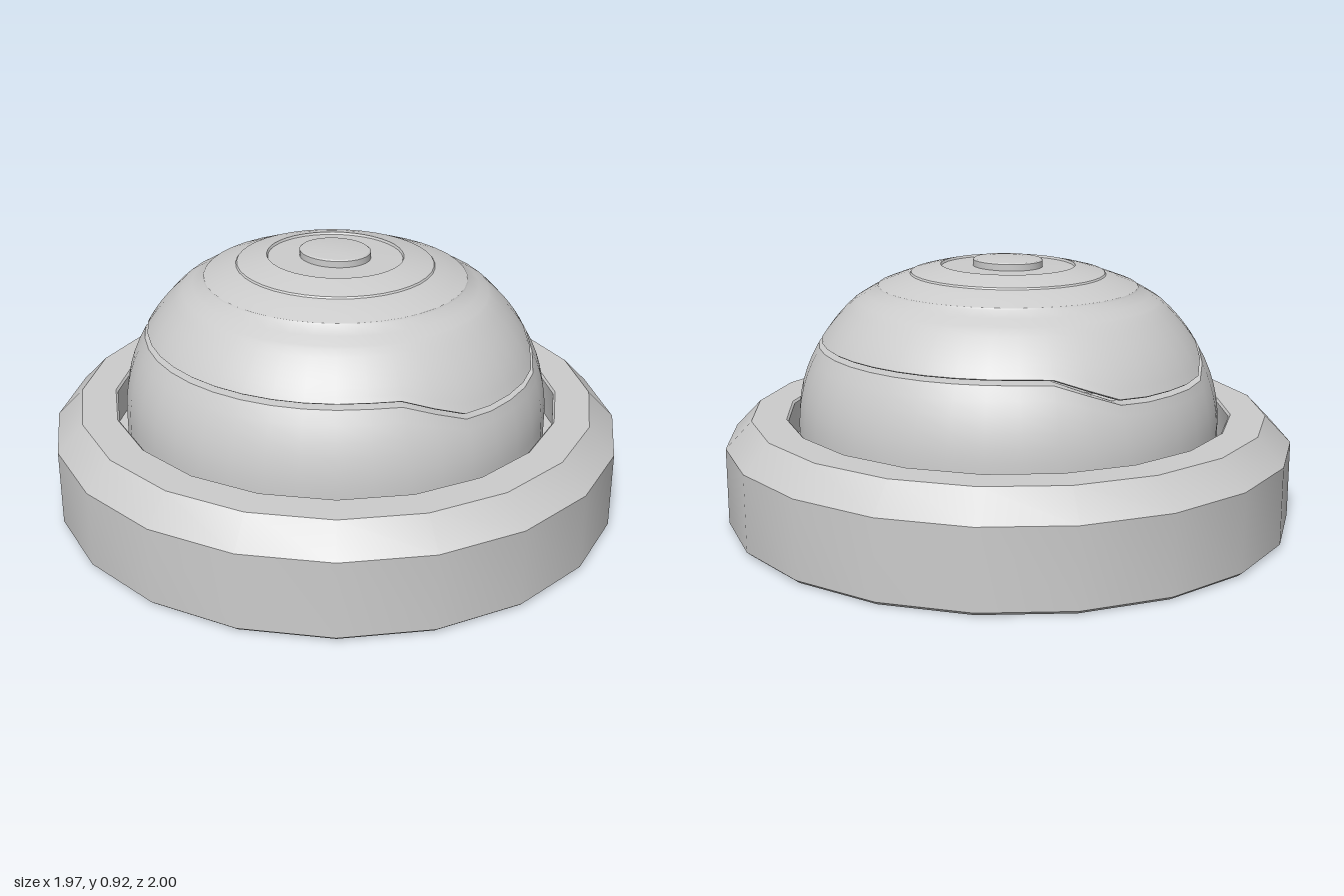
import * as THREE from 'three';
import { toCreasedNormals } from 'three/addons/utils/BufferGeometryUtils.js';

const STRETCH = 0.014; // every ring is this much longer in z than in x

// Revolved part whose profile [[r, y], ...] may change with the angle from +z
function revolve(name, segments, profileAt) {
  const n = profileAt(0).length;
  const blank = Array.from({ length: n }, (_, i) => new THREE.Vector2(1, i));
  const geo = new THREE.LatheGeometry(blank, segments);
  const pos = geo.attributes.position;
  for (let i = 0; i <= segments; i++) {
    const a = (i % segments) / segments * Math.PI * 2;
    profileAt(a).forEach(([r, y], j) => {
      const rz = r > 0 ? r + STRETCH : 0;
      pos.setXYZ(i * n + j, r * Math.sin(a), y, rz * Math.cos(a));
    });
  }
  const mesh = new THREE.Mesh(
    toCreasedNormals(geo, 0.5),
    new THREE.MeshStandardMaterial({ color: 0xcccccc })
  );
  mesh.name = name;
  return mesh;
}

// Radius of the dome at height y
const domeRadius = (y) => 0.731 * Math.sqrt(1 - Math.max(0, (y - 0.35) / 0.607) ** 2);

// Height of the wavy seam: high at the sides, dipping at front and back
function seamHeight(a) {
  const fromZ = Math.asin(Math.min(1, Math.abs(Math.sin(a))));
  return 0.547 + 0.08 * THREE.MathUtils.smoothstep(fromZ, 0.25, 0.68);
}

// Points up the dome between two heights
function domeArc(y0, y1, steps) {
  return Array.from({ length: steps + 1 }, (_, i) => {
    const y = y0 + (y1 - y0) * i / steps;
    return [domeRadius(y), y];
  });
}

export function createModel() {
  const model = new THREE.Group();

  // Heavy base ring with a chamfered rim and a channel around the dome
  model.add(revolve('base', 20, () => [
    [0, 0], [0.972, 0], [0.986, 0.012], [0.986, 0.28], [0.895, 0.374],
    [0.775, 0.374], [0.768, 0.367], [0.768, 0.25], [0, 0.25],
  ]));

  // Lower shell, ending in a lip along the seam
  model.add(revolve('lowerShell', 40, (a) => {
    const top = seamHeight(a) - 0.006;
    return [[0.731, 0.25], ...domeArc(0.35, top, 6),
      [domeRadius(top) - 0.03, top + 0.002], [domeRadius(top) - 0.06, top + 0.002]];
  }));

  // Upper shell with shallow rings and a recessed crown
  model.add(revolve('upperShell', 40, (a) => {
    const low = seamHeight(a) + 0.006;
    return [
      [domeRadius(low) - 0.06, low - 0.004], [domeRadius(low) - 0.008, low],
      ...domeArc(low + 0.004, 0.77, 7),
      [0.518, 0.776], [0.485, 0.796], [0.448, 0.816], [0.444, 0.822],
      [0.41, 0.835], [0.37, 0.85], [0.333, 0.861], [0.329, 0.867],
      [0.28, 0.88], [0.226, 0.892], [0.222, 0.884], [0, 0.888],
    ];
  }));

  // Button on the crown
  model.add(revolve('topButton', 40, () => [
    [0.113, 0.88], [0.113, 0.908], [0.108, 0.912], [0.06, 0.917], [0, 0.918],
  ]));

  return model;
}
